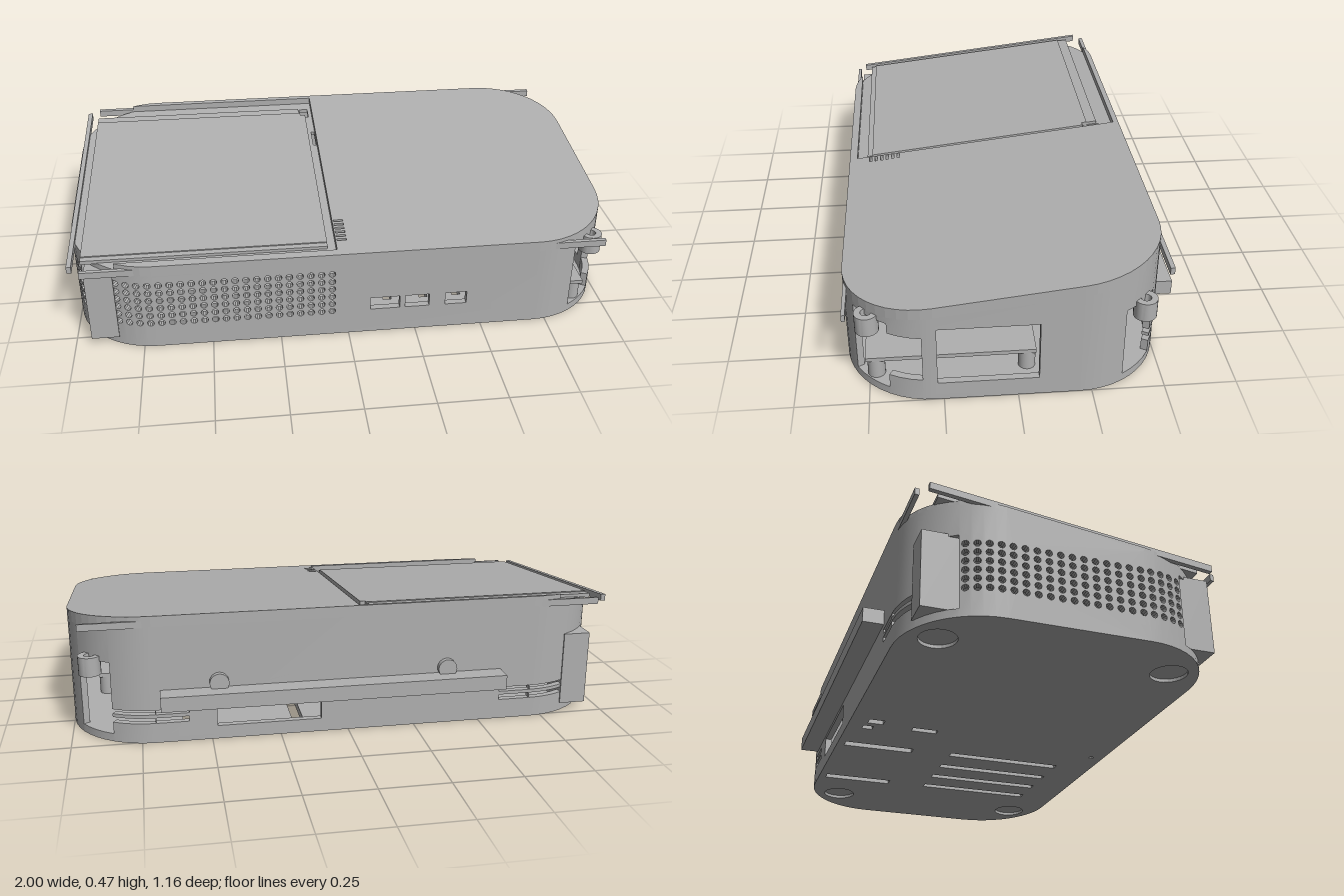
import * as THREE from 'three';
import { mergeGeometries, toCreasedNormals } from 'three/addons/utils/BufferGeometryUtils.js';

const T = 0.025, R = 0.3, N = 12;                 // wall thickness, corner radius, facets per corner
const top = z => 0.348 + (0.58 - z) * 0.1165;     // sloping top plane
const CORNERS = [[0.7, 0.28], [0.7, -0.21], [-0.7, -0.21], [-0.7, 0.28]];

// Point on the rounded outline: corner k, step j, with its outward normal
function rim(k, j, inset = 0) {
  const a = (k + j / N) * Math.PI / 2, n = [Math.sin(a), Math.cos(a)];
  const [cx, cz] = CORNERS[k % 4];
  return { x: cx + n[0] * (R - inset), z: cz + n[1] * (R - inset), n };
}
function outline(inset = 0) {
  const pts = [];
  for (let k = 0; k < 4; k++) for (let j = 0; j <= N; j++) {
    const p = rim(k, j, inset);
    pts.push([p.x, p.z]);
  }
  return pts;
}
// Keep the side of a polygon where sign * (coordinate - value) is positive
function clip(pts, axis, value, sign) {
  const out = [];
  pts.forEach((p, i) => {
    const q = pts[(i + 1) % pts.length];
    const a = sign * (p[axis] - value), b = sign * (q[axis] - value);
    if (a >= 0) out.push(p);
    if ((a > 0 && b < 0) || (a < 0 && b > 0)) {
      const t = a / (a - b);
      out.push([p[0] + (q[0] - p[0]) * t, p[1] + (q[1] - p[1]) * t]);
    }
  });
  return out;
}
const rect = (x0, x1, y0, y1) => [[x0, y0], [x1, y0], [x1, y1], [x0, y1]];
const circle = (x, y, r, n = 10) => Array.from({ length: n }, (_, i) =>
  [x + r * Math.cos(i / n * Math.PI * 2), y + r * Math.sin(i / n * Math.PI * 2)]);

function extrude(pts, holes, depth) {
  const vec = list => list.map(p => new THREE.Vector2(p[0], p[1]));
  const shape = new THREE.Shape(vec(pts));
  holes.forEach(h => shape.holes.push(new THREE.Path(vec(h))));
  return new THREE.ExtrudeGeometry(shape, { depth, bevelEnabled: false });
}
// Horizontal plate from an (x, z) polygon; sloped plates follow the top plane
function slab(pts, y0, h, holes = [], sloped = false) {
  const flip = list => list.map(p => [p[0], -p[1]]);
  const g = extrude(flip(pts), holes.map(flip), h).rotateX(-Math.PI / 2).translate(0, y0, 0);
  if (sloped) {
    const p = g.attributes.position;
    for (let i = 0; i < p.count; i++) p.setY(i, p.getY(i) + top(p.getZ(i)));
    g.computeVertexNormals();
  }
  return g;
}
// Upright wall piece between two rim points
function panel(p, q, y0, y1, holes = []) {
  const L = Math.hypot(q.x - p.x, q.z - p.z);
  const a = y1 ?? top(p.z) - 0.04, b = y1 ?? top(q.z) - 0.04;
  const g = extrude([[0, y0], [L, y0], [L, b], [0, a]], holes, T);
  const v = g.attributes.position;
  for (let i = 0; i < v.count; i++) {
    const t = v.getX(i) / L, d = T - v.getZ(i);
    const mix = (m, n) => m + (n - m) * t;
    v.setXYZ(i, mix(p.x, q.x) - mix(p.n[0], q.n[0]) * d, v.getY(i),
      mix(p.z, q.z) - mix(p.n[1], q.n[1]) * d);
  }
  return g;
}
// Columns of round vent holes
function vents(s0, count, pitch) {
  const list = [];
  for (let c = 0; c < count; c++) for (let r = 0; r < 6; r++)
    list.push(circle(s0 + c * pitch, 0.103 + r * 0.0325, 0.0125));
  return list;
}

function buildWalls() {
  const parts = [];
  const slots = [[0, 0.075], [0.095, 0.108], [0.125, undefined]];
  const pitch = 2 * R * Math.sin(Math.PI / 4 / N);
  for (let k = 0; k < 4; k++) for (let j = 0; j < N; j++) {
    let bands = [[0, undefined]], holes = [];
    if (j >= 4 && j < 8) bands = [[0, 0.03], [0.3, undefined]];              // corner openings
    else if (k === 0 && j >= 8 && j < 11) bands = [[0, 0.085], [0.26, undefined]];
    else if ((k === 1 && j >= 8) || (k === 2 && j < 4)) bands = slots;       // rear corner slots
    else if (k === 3 || (k === 2 && j >= 8)) holes = vents(pitch / 2, 1, pitch);
    for (const [a, b] of bands) parts.push(panel(rim(k, j), rim(k, j + 1), a, b, holes));
  }
  const flat = [
    [rect(0.01, 0.35, 0.07, 0.295)],                                         // side window
    [rect(0.22, 0.6, 0.05, 0.13),                                            // rear opening and slots
      ...[0.003, 1.28].flatMap(s => [rect(s, s + 0.117, 0.075, 0.095), rect(s, s + 0.117, 0.108, 0.125)])],
    vents(0.02, 12, 0.041),
    [...vents(0.02, 17, 0.0387), rect(0.78, 0.89, 0.1, 0.15),
      rect(0.91, 1.0, 0.1, 0.15), rect(1.06, 1.14, 0.1, 0.15)],              // front vents and ports
  ];
  flat.forEach((holes, k) => parts.push(panel(rim(k, N), rim(k + 1, 0), 0, undefined, holes)));
  return toCreasedNormals(mergeGeometries(parts), 0.4);
}

export function createModel() {
  const model = new THREE.Group();
  const grey = new THREE.MeshStandardMaterial({ color: 0xb0b0b0 });
  grey.name = 'plain grey';
  const add = (name, geometry) => {
    const m = new THREE.Mesh(geometry, grey);
    m.name = name;
    model.add(m);
    return m;
  };
  const box = (name, x0, x1, y0, y1, z0, z1) =>
    add(name, new THREE.BoxGeometry(x1 - x0, y1 - y0, z1 - z0)
      .translate((x0 + x1) / 2, (y0 + y1) / 2, (z0 + z1) / 2));
  const post = (name, x, z, r, y0, y1) =>
    add(name, new THREE.CylinderGeometry(r, r, y1 - y0, 24).translate(x, (y0 + y1) / 2, z));

  add('shellWalls', buildWalls());

  // Base with slots and sunken foot pads
  const cuts = [
    ...[0.57, 0.44, 0.31, 0.17].map(x => rect(x - 0.016, x + 0.016, -0.04, 0.43)),
    ...[0.58, 0.18].map(x => rect(x - 0.02, x + 0.02, -0.48, -0.2)),
    rect(-0.06, -0.03, -0.26, -0.16), rect(-0.09, -0.055, -0.44, -0.38),
    rect(-0.025, 0.005, -0.45, -0.41), circle(0.02, 0.53, 0.01),
  ];
  const feet = [-0.8, 0.8].flatMap(x => [-0.38, 0.45].map(z => circle(x, z, 0.066, 28)));
  add('baseOuter', slab(outline(T / 2), 0, 0.012, [...cuts, ...feet]));
  add('baseInner', slab(outline(T / 2), 0.012, 0.018, cuts));

  // Lid: full under-plate, raised right half and thin strips around the left recess
  const rimPts = outline();
  const teeth = Array.from({ length: 6 }, (_, i) => rect(-0.035, 0, 0.38 + i * 0.022, 0.39 + i * 0.022));
  const gaps = [rect(-0.09, -0.055, -0.44, -0.38), rect(-0.055, -0.042, -0.26, -0.16)];
  add('lidUnderPlate', slab(rimPts, -0.04, 0.015, gaps, true));
  add('lidRightHalf', slab(clip(rimPts, 0, -0.04, 1), -0.025, 0.025, teeth, true));
  const left = clip(rimPts, 0, -0.04, -1);
  add('lidFrontStrip', slab(clip(left, 1, 0.55, 1), -0.025, 0.025, [], true));
  add('lidRearStrip', slab(clip(left, 1, -0.49, -1), -0.025, 0.025, [], true));

  // Recessed rectangular panel with stepped ends
  const notched = [[-0.95, -0.39], [-0.09, -0.39], [-0.09, -0.37], [-0.07, -0.37], [-0.07, 0.49], [-0.95, 0.49]];
  add('topPanel', slab(notched, -0.028, 0.018, [], true));
  add('panelRearStep', slab(rect(-0.95, -0.095, -0.43, -0.39), -0.028, 0.014, [], true));
  add('panelFrontStep', slab(rect(-0.95, -0.07, 0.49, 0.51), -0.028, 0.014, [], true));

  // Rails under the lid edge
  add('frontRail', slab(rect(-0.95, 0.95, 0.56, 0.573), -0.04, 0.025, [], true));
  add('rearRail', slab(rect(-0.95, 0.95, -0.508, -0.493), -0.042, 0.025, [], true));
  add('leftRail', slab(rect(-0.995, -0.978, -0.47, 0.54), -0.038, 0.025, [], true));

  // Rear bar with round lugs
  box('rearBar', -0.58, 0.68, 0.145, 0.2, -0.585, -0.5);
  for (const x of [-0.37, 0.47]) add('rearLug', new THREE.CylinderGeometry(0.035, 0.035, 0.03, 24)
    .rotateX(Math.PI / 2).translate(x, 0.22, -0.515));

  // Blocks in the left corner openings
  box('frontCornerBlock', -0.94, -0.84, 0.03, 0.31, 0.42, 0.55);
  box('rearCornerBlock', -0.94, -0.84, 0.03, 0.31, -0.48, -0.35);

  // Screw sleeves at the right corners
  const sleeve = [[0.018, 0.25], [0.04, 0.25], [0.04, 0.32], [0.018, 0.32], [0.018, 0.25]]
    .map(p => new THREE.Vector2(...p));
  for (const z of [0.495, -0.43])
    add('screwSleeve', toCreasedNormals(new THREE.LatheGeometry(sleeve, 24).toNonIndexed(), 0.5).translate(0.92, 0, z));

  // Circuit board, its posts and parts inside
  box('circuitBoard', 0.24, 0.91, 0.1, 0.115, -0.07, 0.51);
  post('boardPost', 0.88, 0.475, 0.03, 0.03, 0.1);
  post('boardPost', 0.88, -0.04, 0.03, 0.03, 0.1);
  box('portBlock', 0.5, 0.75, 0.115, 0.255, 0.005, 0.275);
  box('smallPortBlock', 0.5, 0.75, 0.115, 0.255, 0.315, 0.42);
  box('driveTray', -0.9, -0.12, 0.11, 0.125, -0.3, 0.45);
  return model;
}
